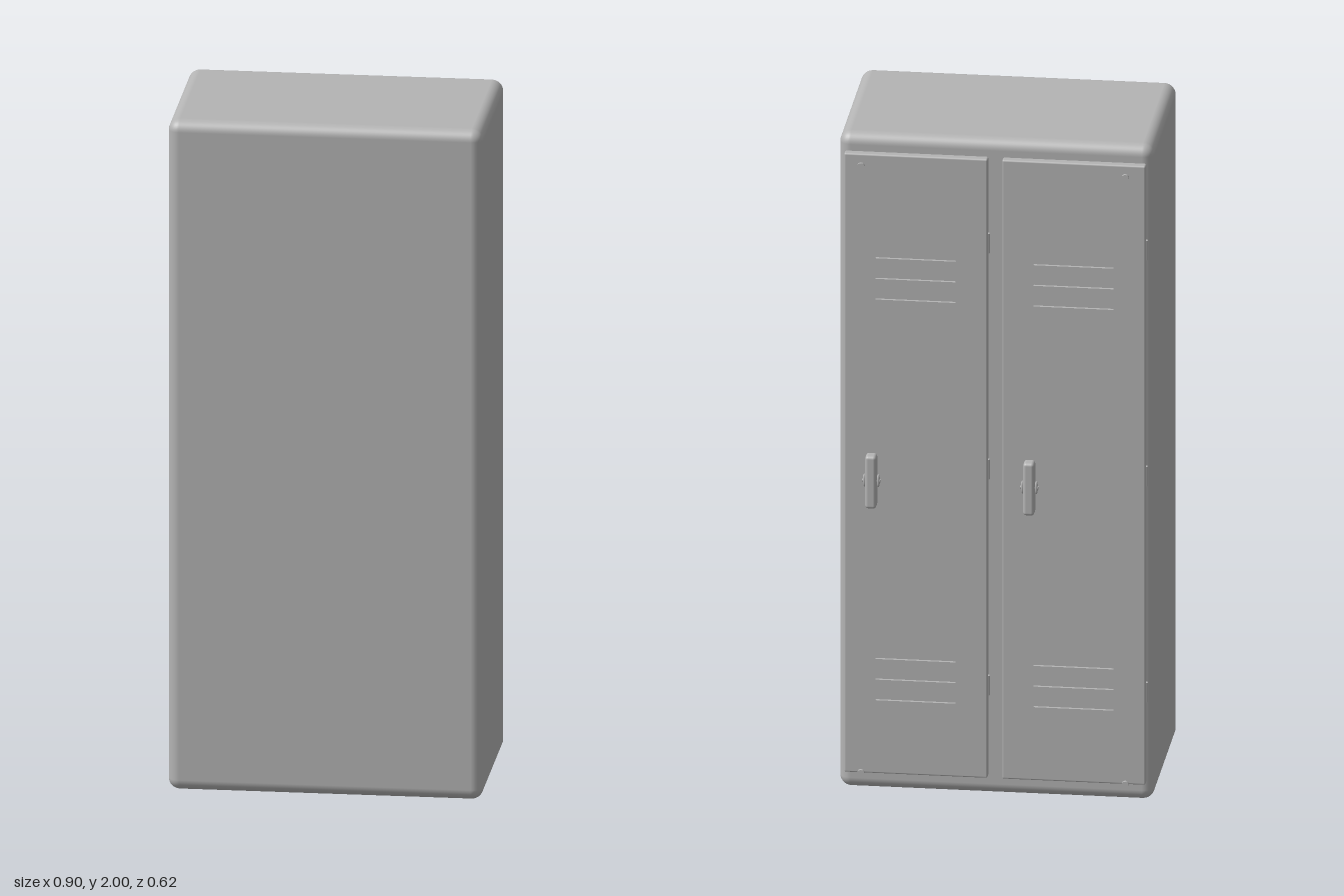
import * as THREE from 'three';
import { RoundedBoxGeometry } from 'three/addons/geometries/RoundedBoxGeometry.js';

export function createModel() {
  const model = new THREE.Group();
  model.name = 'locker';
  const metal = new THREE.MeshStandardMaterial({ color: 0xb4b4b4 });
  metal.name = 'grey metal';

  const add = (parent, name, geometry, x, y, z) => {
    const mesh = new THREE.Mesh(geometry, metal);
    mesh.name = name;
    mesh.position.set(x, y, z);
    parent.add(mesh);
    return mesh;
  };

  // Cabinet with softened edges
  add(model, 'cabinet', new RoundedBoxGeometry(0.905, 2, 0.545, 4, 0.033), 0, 1, 0.038);

  // Two identical doors on the back side
  const doorGeo = new RoundedBoxGeometry(0.413, 1.89, 0.027, 2, 0.005);
  const ventGeo = new THREE.BoxGeometry(0.23, 0.014, 0.012);
  const handleGeo = new RoundedBoxGeometry(0.032, 0.16, 0.04, 3, 0.009);
  const hingeGeo = new THREE.CylinderGeometry(0.006, 0.006, 0.06, 12);
  const latchGeo = new THREE.CylinderGeometry(0.005, 0.005, 0.052, 12).rotateZ(Math.PI / 2);
  const keyGeo = new THREE.SphereGeometry(1, 12, 8).scale(0.005, 0.02, 0.007);

  for (const [name, x] of [['rightDoor', -0.227], ['leftDoor', 0.228]]) {
    const door = new THREE.Group();
    door.name = name;
    door.position.x = x;
    model.add(door);
    add(door, 'doorPanel', doorGeo, 0, 1.005, -0.2495);

    // Ventilation slats, three high and three low
    for (const y of [1.63, 1.567, 1.504, 0.406, 0.343, 0.28])
      add(door, 'ventSlat', ventGeo, 0, y, -0.266);

    // Handle with a cross latch
    add(door, 'handle', handleGeo, 0.126, 0.96, -0.28);
    add(door, 'latchPin', latchGeo, 0.126, 0.96, -0.277);
    for (const s of [-1, 1])
      add(door, 'latchTab', keyGeo, 0.126 + s * 0.02, 0.96, -0.277);

    // Hinges along the outer edge
    for (const y of [1.69, 1.0, 0.34])
      add(door, 'hinge', hingeGeo, -0.206, y, -0.25);
  }

  // Small pins standing off the corners
  const pinGeo = new THREE.CylinderGeometry(0.0105, 0.0105, 0.009, 16).rotateX(Math.PI / 2);
  for (const x of [-0.381, 0.38])
    for (const y of [1.93, 0.077])
      add(model, 'cornerPin', pinGeo, x, y, -0.309);

  return model;
}
